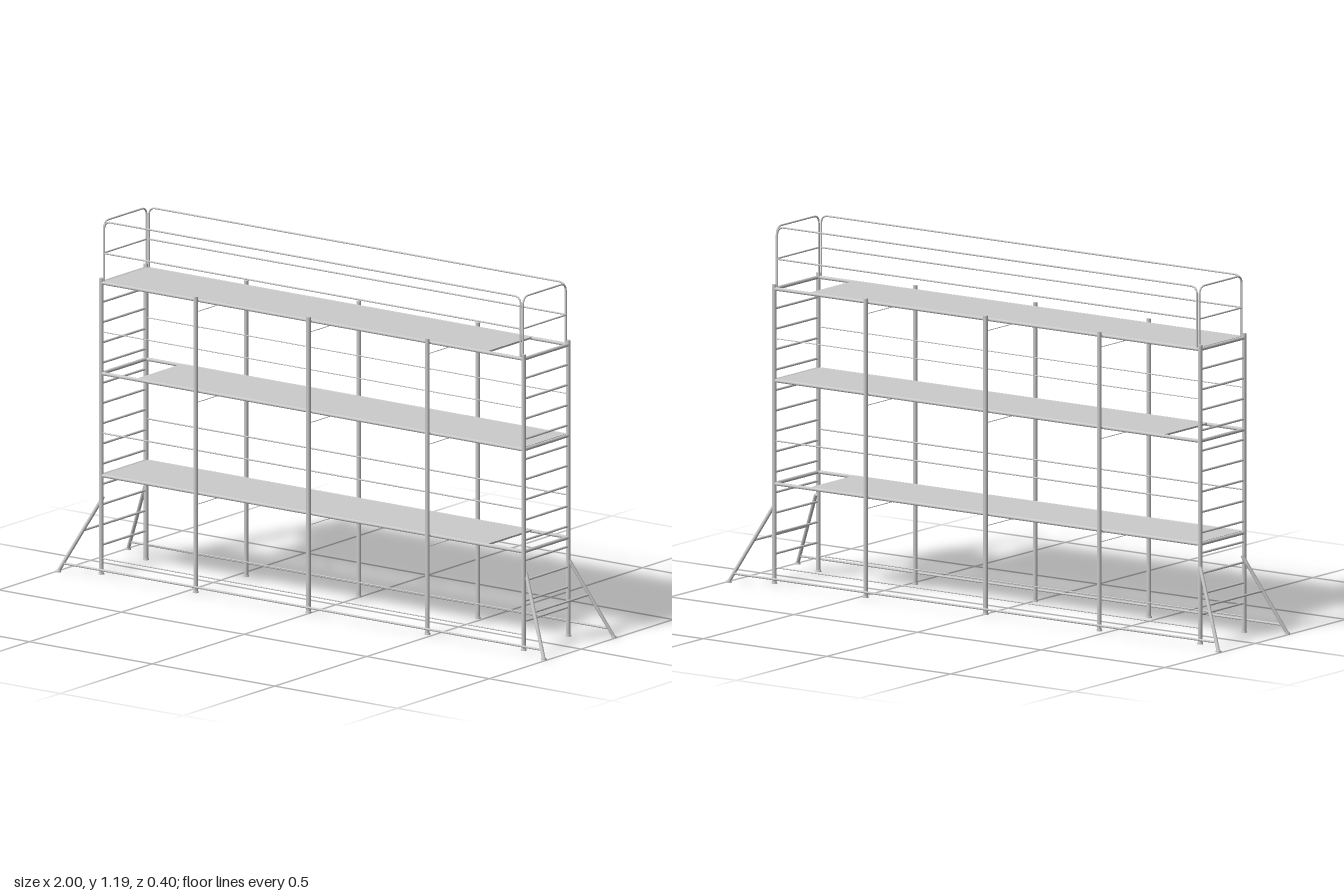
import * as THREE from 'three';

export function createModel() {
  const model = new THREE.Group();
  const mat = new THREE.MeshStandardMaterial({ color: 0xcccccc });
  const V = (x, y, z) => new THREE.Vector3(x, y, z);
  const UP = V(0, 1, 0);

  const group = (name) => {
    const g = new THREE.Group();
    g.name = name;
    model.add(g);
    return g;
  };
  const add = (parent, name, geo) => {
    const m = new THREE.Mesh(geo, mat);
    m.name = name;
    parent.add(m);
    return m;
  };
  // Straight round bar between two points
  const bar = (parent, name, a, b, r) => {
    const d = b.clone().sub(a);
    const m = add(parent, name, new THREE.CylinderGeometry(r, r, d.length(), 12));
    m.position.copy(a).add(b).multiplyScalar(0.5);
    m.quaternion.setFromUnitVectors(UP, d.normalize());
  };
  const foot = (parent, x, z) => {
    add(parent, 'footPlate', new THREE.CylinderGeometry(0.009, 0.01, 0.006, 16)).position.set(x, 0.003, z);
  };

  const endX = 0.861, front = 0.128, back = -0.115, midZ = (front + back) / 2;
  const postTop = 0.995, postR = 0.0075;
  const midPosts = [-0.465, -0.005, 0.48];
  const decks = [{ y: 0.332, gap: 1 }, { y: 0.675, gap: -1 }, { y: 0.98, gap: 1 }];

  // Ladder frames at both ends
  for (const s of [-1, 1]) {
    const frame = group(s > 0 ? 'leftLadderFrame' : 'rightLadderFrame');
    for (const z of [front, back]) {
      bar(frame, 'cornerPost', V(s * endX, 0, z), V(s * endX, postTop, z), postR);
      foot(frame, s * endX, z);
    }
    for (let i = 0; i < 14; i++) {
      const y = 0.098 + i * 0.068;
      bar(frame, 'rung', V(s * endX, y, front), V(s * endX, y, back), 0.0038);
    }
  }

  // Intermediate posts just outside the deck beams
  const posts = group('intermediatePosts');
  for (const x of midPosts) {
    for (const [z, side] of [[0.143, 1], [-0.131, -1]]) {
      bar(posts, 'intermediatePost', V(x, 0, z), V(x, postTop, z), postR);
      foot(posts, x, z);
      for (const d of decks) bar(posts, 'coupler', V(x, d.y, z), V(x, d.y, z - side * 0.015), 0.005);
    }
    for (const d of decks) bar(posts, 'crossTie', V(x, d.y - 0.037, 0.143), V(x, d.y - 0.037, -0.131), 0.0013);
  }

  // Decks, each leaving a ladder opening at one end
  for (const { y, gap } of decks) {
    const deck = group('deck');
    const w = 1.569, outer = -gap * 0.854;
    add(deck, 'platform', new THREE.BoxGeometry(w, 0.006, front - back))
      .position.set(outer + gap * w / 2, y + 0.002, midZ);
    for (const z of [front, back]) bar(deck, 'sideBeam', V(-endX, y, z), V(endX, y, z), 0.006);
    for (const s of [-1, 1]) bar(deck, 'endBeam', V(s * endX, y, front), V(s * endX, y, back), 0.006);
  }

  // Thin rails between the levels, on both long sides
  const rails = group('sideRails');
  for (const [y, r] of [[0.053, 0.002], [0.475, 0.0025], [0.815, 0.0017]])
    for (const z of [front, back]) bar(rails, 'sideRail', V(-endX, y, z), V(endX, y, z), r);

  // Guard hoops with rounded top corners, each with a middle rail
  const guard = group('guardRails');
  const hoop = (name, a, b) => {
    const yTop = 1.187, c = 0.028, yBase = 0.98;
    const dir = V(b.x - a.x, 0, b.z - a.z).normalize().multiplyScalar(c);
    const at = (p, y) => V(p.x, y, p.z);
    const a2 = at(a, yTop).add(dir), b2 = at(b, yTop).sub(dir);
    bar(guard, name, at(a, yBase), at(a, yTop - c), 0.003);
    bar(guard, name, at(b, yBase), at(b, yTop - c), 0.003);
    bar(guard, name, a2, b2, 0.003);
    for (const [p, q] of [[a, a2], [b, b2]]) {
      const curve = new THREE.QuadraticBezierCurve3(at(p, yTop - c), at(p, yTop), q);
      add(guard, name + 'Corner', new THREE.TubeGeometry(curve, 10, 0.003, 10));
    }
    bar(guard, name + 'MiddleRail', at(a, 1.08), at(b, 1.08), 0.0028);
  };
  for (const z of [front, back]) hoop('longHoop', V(-0.849, 0, z), V(0.849, 0, z));
  for (const x of [-0.855, 0.855]) hoop('endHoop', V(x, 0, front - 0.005), V(x, 0, back + 0.005));

  // Sloping outriggers with ties low along the sides and across the ends
  const outriggers = group('outriggers');
  for (const sx of [-1, 1]) {
    for (const sz of [-1, 1]) {
      bar(outriggers, 'outriggerLeg', V(sx * 0.862, 0.258, sz * 0.116), V(sx * 0.99, 0.003, sz * 0.19), 0.006);
      foot(outriggers, sx * 0.99, sz * 0.19);
    }
    bar(outriggers, 'endTie', V(sx * 0.92, 0.142, -0.15), V(sx * 0.92, 0.142, 0.15), 0.0038);
  }
  for (const sz of [-1, 1])
    bar(outriggers, 'sideTie', V(-0.976, 0.03, sz * 0.182), V(0.976, 0.03, sz * 0.182), 0.0038);

  return model;
}
